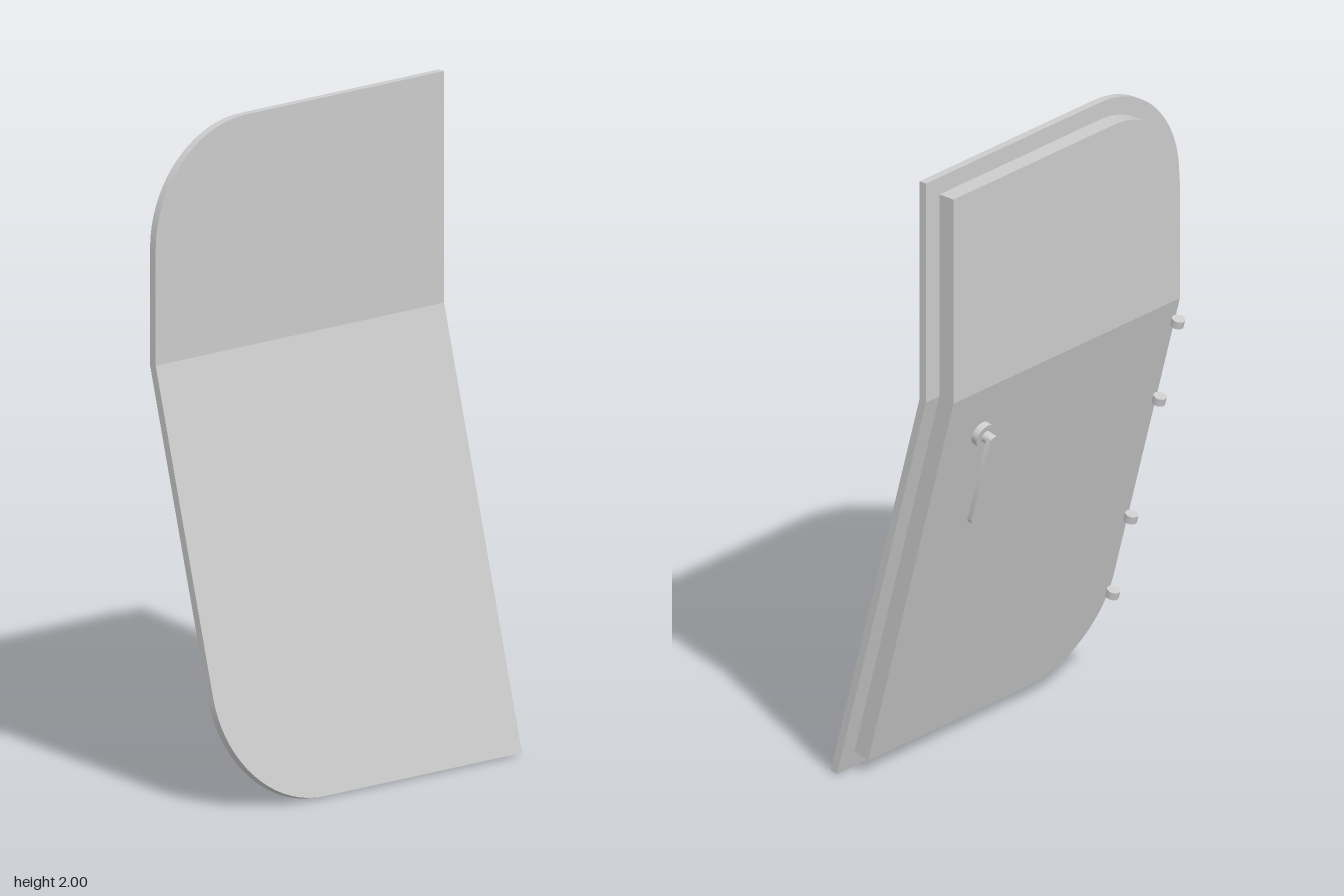
import * as THREE from 'three';
import { toCreasedNormals } from 'three/addons/utils/BufferGeometryUtils.js';

const TILT = Math.PI / 12; // lean of the lower half
const BEND_Y = 1.3, BEND_Z = -0.1; // front of the bend line

// Point of the bent door: v along the sheet from the bend, t depth behind the front face
function bentPoint(x, v, t) {
  if (v === 0) return [x, BEND_Y - t * Math.tan(TILT / 2), BEND_Z - t]; // mitre
  if (v > 0) return [x, BEND_Y + v, BEND_Z - t];
  return [
    x,
    BEND_Y - t * Math.sin(TILT) + v * Math.cos(TILT),
    BEND_Z - t * Math.cos(TILT) - v * Math.sin(TILT),
  ];
}

// Bent slab with two rounded corners on the -x edge, lofted from top to bottom
function bentSlab(halfWidth, top, bottom, radius, t0, t1) {
  const steps = 18, rows = [];
  for (let i = 0; i <= steps; i++) {
    const a = (i / steps) * Math.PI / 2;
    rows.push([-halfWidth + radius * (1 - Math.sin(a)), top - radius * (1 - Math.cos(a))]);
  }
  rows.push([-halfWidth, 0]);
  for (let i = 0; i <= steps; i++) {
    const a = (i / steps) * Math.PI / 2;
    rows.push([-halfWidth + radius * (1 - Math.cos(a)), bottom + radius * (1 - Math.sin(a))]);
  }
  const pos = [], index = [];
  for (const [left, v] of rows) {
    pos.push(...bentPoint(left, v, t0), ...bentPoint(halfWidth, v, t0));
    pos.push(...bentPoint(halfWidth, v, t1), ...bentPoint(left, v, t1));
  }
  for (let i = 0; i < rows.length - 1; i++) {
    for (let k = 0; k < 4; k++) {
      const a = i * 4 + k, b = i * 4 + (k + 1) % 4;
      index.push(a, a + 4, b + 4, a, b + 4, b);
    }
  }
  const e = (rows.length - 1) * 4;
  index.push(0, 1, 2, 0, 2, 3, e, e + 2, e + 1, e, e + 3, e + 2);
  const geo = new THREE.BufferGeometry();
  geo.setAttribute('position', new THREE.Float32BufferAttribute(pos, 3));
  geo.setIndex(index);
  return toCreasedNormals(geo, 0.17);
}

export function createModel() {
  const model = new THREE.Group();
  model.name = 'door';
  const material = new THREE.MeshStandardMaterial({ color: 0xcccccc });
  const add = (parent, name, geo, x = 0, y = 0, z = 0) => {
    const mesh = new THREE.Mesh(geo, material);
    mesh.name = name;
    mesh.position.set(x, y, z);
    parent.add(mesh);
    return mesh;
  };

  // Outer skin and the smaller slab behind it
  add(model, 'outerPanel', bentSlab(0.56, 0.7, -1.339, 0.35, 0, 0.025));
  add(model, 'innerPanel', bentSlab(0.5, 0.645, -1.28, 0.29, 0.025, 0.08));

  // Frame of the leaning half: local y runs up the sheet, -z points out of its back
  const fittings = new THREE.Group();
  fittings.name = 'fittings';
  fittings.position.set(0, BEND_Y, BEND_Z);
  fittings.rotation.x = -TILT;
  model.add(fittings);

  // Hinge pins along the rounded edge
  for (const s of [0.021, 0.3, 0.726, 1.0]) {
    add(fittings, 'hingePin', new THREE.CylinderGeometry(0.02, 0.02, 0.025, 24), -0.442, -s, -0.133);
  }

  // Handle: round base, stem and a bar with rounded ends
  const handle = new THREE.Group();
  handle.name = 'handle';
  handle.position.set(0.332, -0.158, 0);
  fittings.add(handle);
  const base = add(handle, 'handleBase', new THREE.CylinderGeometry(0.038, 0.038, 0.022, 32), 0, 0, -0.09);
  const stem = add(handle, 'handleStem', new THREE.CylinderGeometry(0.018, 0.018, 0.03, 24), 0, 0, -0.11);
  base.rotation.x = stem.rotation.x = Math.PI / 2;

  const w = 0.018, length = 0.278;
  const outline = new THREE.Shape();
  outline.absarc(0, 0, w, 0, Math.PI, false);
  outline.absarc(0, -length, w, Math.PI, 2 * Math.PI, false);
  outline.closePath();
  const bar = new THREE.ExtrudeGeometry(outline, { depth: 0.016, bevelEnabled: false, curveSegments: 12 });
  add(handle, 'handleBar', toCreasedNormals(bar, 0.6), 0, 0, -0.135);

  return model;
}
